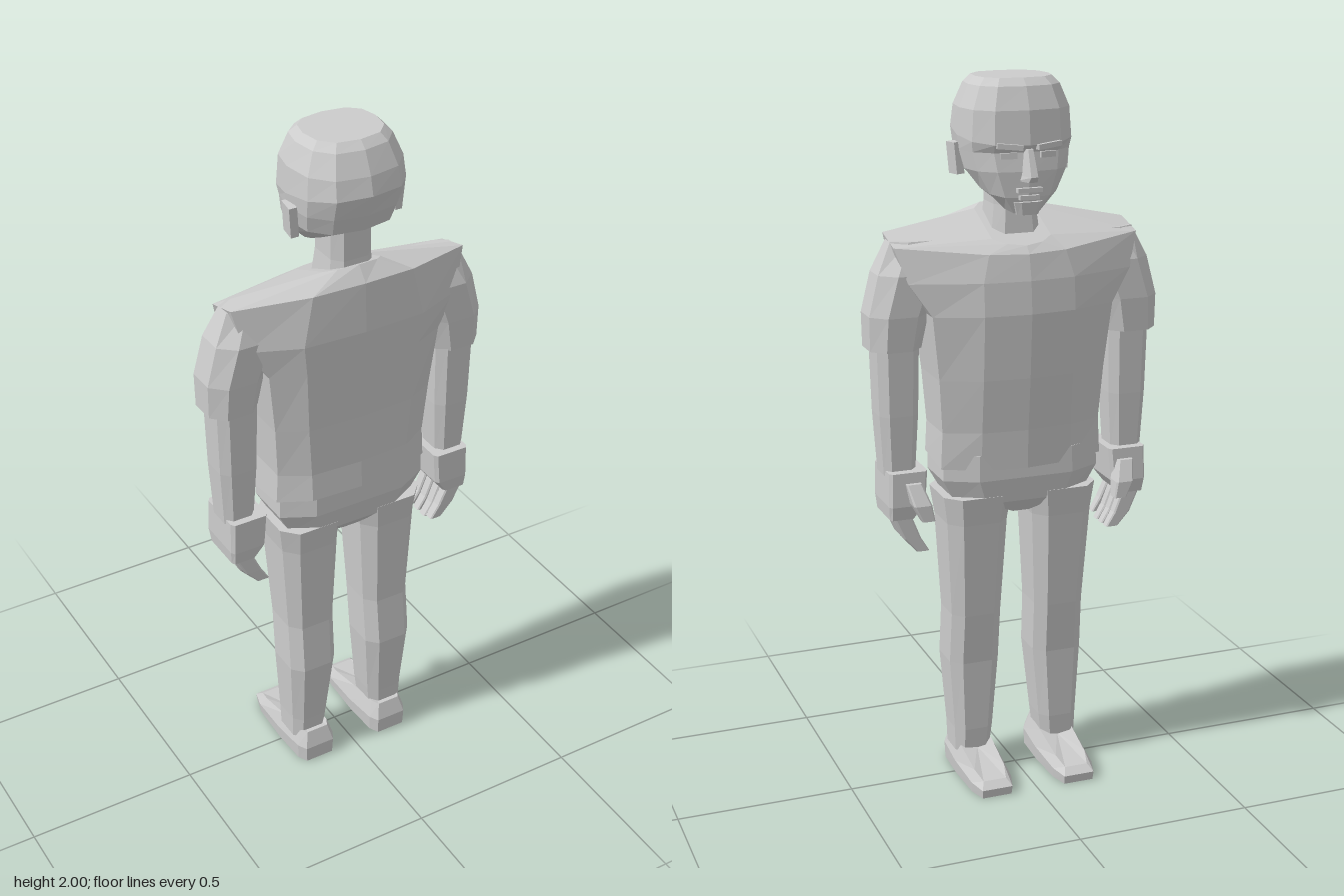
import * as THREE from 'three';

const grey = new THREE.MeshStandardMaterial({ color: 0xcccccc });
grey.name = 'light grey';

// Symmetric ring about x = cx: half profile [x, z] from the face side (-z) to the back; height runs yf to yb
function ring(cx, yf, yb, half) {
  const z0 = half[0][1], z1 = half[half.length - 1][1];
  const mirrored = half.filter(p => p[0] > 0).reverse().map(([x, z]) => [-x, z]);
  return [...half, ...mirrored].map(([x, z]) => [cx + x, yf + (yb - yf) * (z - z0) / (z1 - z0), z]);
}

// Chamfered rectangle ring: half width w, depth z0..z1, chamfer share c
function oct(cx, y, w, z0, z1, c = 0.4) {
  const d = c * (z1 - z0) / 2;
  return ring(cx, y, y, [[w * (1 - c), z0], [w, z0 + d], [w, z1 - d], [w * (1 - c), z1]]);
}

// Faceted, capped skin through rings listed from bottom to top
function loft(name, rings) {
  const pos = [], n = rings[0].length;
  const tri = (...v) => v.forEach(p => pos.push(...p));
  const centre = r => [0, 1, 2].map(k => r.reduce((s, p) => s + p[k], 0) / n);
  const low = rings[0], high = rings[rings.length - 1];
  const lowC = centre(low), highC = centre(high);
  for (let i = 0; i < n; i++) {
    const j = (i + 1) % n;
    for (let k = 0; k + 1 < rings.length; k++) {
      const a = rings[k], b = rings[k + 1];
      tri(a[i], b[i], a[j]);
      tri(a[j], b[i], b[j]);
    }
    tri(lowC, low[i], low[j]);
    tri(highC, high[j], high[i]);
  }
  const geo = new THREE.BufferGeometry();
  geo.setAttribute('position', new THREE.Float32BufferAttribute(pos, 3));
  geo.computeVertexNormals();
  const mesh = new THREE.Mesh(geo, grey);
  mesh.name = name;
  return mesh;
}

function box(name, w, h, d, x, y, z, rx = 0, ry = 0, rz = 0) {
  const mesh = new THREE.Mesh(new THREE.BoxGeometry(w, h, d), grey);
  mesh.name = name;
  mesh.position.set(x, y, z);
  mesh.rotation.set(rx, ry, rz);
  return mesh;
}

function shirt() {
  // yf, yb, side x, front z, back z, front half width, back half width, side front z, side back z
  const rows = [
    [0.94, 0.97, 0.235, -0.10, 0.150, 0.13, 0.15, -0.05, 0.09],
    [1.05, 1.05, 0.230, -0.105, 0.145, 0.13, 0.15, -0.05, 0.09],
    [1.20, 1.20, 0.240, -0.12, 0.150, 0.13, 0.16, -0.06, 0.10],
    [1.38, 1.38, 0.260, -0.132, 0.160, 0.13, 0.17, -0.07, 0.11],
    [1.47, 1.47, 0.320, -0.125, 0.165, 0.13, 0.18, -0.05, 0.10],
    [1.54, 1.61, 0.350, -0.11, 0.158, 0.11, 0.15, -0.02, 0.08],
    [1.56, 1.65, 0.085, -0.09, 0.125, 0.05, 0.06, -0.05, 0.09],
  ];
  return loft('shirt', rows.map(([yf, yb, xs, zf, zb, xf, xb, sf, sb]) =>
    ring(0, yf, yb, [[0, zf], [xf, zf + 0.012], [xs, sf], [xs, sb], [xb, zb - 0.008], [0, zb]])));
}

function head() {
  const group = new THREE.Group();
  group.name = 'head';
  // yf, yb, half width, front z, back z
  const rows = [
    [1.645, 1.71, 0.06, -0.093, 0.06],
    [1.69, 1.735, 0.105, -0.105, 0.10],
    [1.76, 1.76, 0.14, -0.108, 0.15],
    [1.81, 1.81, 0.152, -0.100, 0.17],
    [1.83, 1.87, 0.156, -0.115, 0.19],
    [1.92, 1.92, 0.150, -0.108, 0.178],
    [1.98, 1.98, 0.125, -0.085, 0.150],
    [2.0, 2.0, 0.105, -0.062, 0.128],
  ];
  group.add(loft('skull', rows.map(([yf, yb, w, zf, zb]) => {
    const d = zb - zf;
    return ring(0, yf, yb, [[0, zf], [w * 0.6, zf + 0.05 * d], [w * 0.9, zf + 0.2 * d],
      [w, zf + 0.45 * d], [w * 0.92, zf + 0.75 * d], [w * 0.6, zf + 0.94 * d], [0, zb]]);
  })));
  group.add(loft('neck', [oct(0, 1.57, 0.07, -0.035, 0.115), oct(0, 1.66, 0.06, -0.025, 0.11), oct(0, 1.79, 0.06, -0.02, 0.11)]));
  group.add(loft('nose', [
    ring(0, 1.735, 1.735, [[0.012, -0.135], [0.028, -0.09]]),
    ring(0, 1.75, 1.75, [[0.010, -0.147], [0.024, -0.09]]),
    ring(0, 1.82, 1.82, [[0.007, -0.117], [0.012, -0.09]]),
  ]));
  group.add(box('upperLip', 0.07, 0.012, 0.02, 0, 1.712, -0.107));
  group.add(box('lowerLip', 0.055, 0.012, 0.02, 0, 1.692, -0.105));
  group.add(loft('chin', [oct(0, 1.645, 0.03, -0.106, -0.06), oct(0, 1.68, 0.04, -0.113, -0.06)]));
  for (const s of [1, -1]) {
    group.add(box('ear', 0.022, 0.085, 0.05, s * 0.154, 1.785, 0.043, 0.05, s * 0.12, s * -0.08));
    group.add(box('eye', 0.045, 0.016, 0.008, s * 0.055, 1.803, -0.1, 0, s * -0.16, 0));
    group.add(box('brow', 0.07, 0.014, 0.018, s * 0.055, 1.828, -0.108, 0, s * -0.16, s * 0.1));
  }
  return group;
}

function arm(s) {
  const group = new THREE.Group();
  group.name = s > 0 ? 'leftArm' : 'rightArm';
  group.add(loft('sleeve', [
    oct(s * 0.345, 1.285, 0.072, -0.045, 0.105, 0.5),
    oct(s * 0.335, 1.38, 0.083, -0.05, 0.11, 0.5),
    oct(s * 0.30, 1.49, 0.09, -0.045, 0.11, 0.5),
    oct(s * 0.26, 1.575, 0.09, -0.01, 0.08, 0.5),
  ]));
  group.add(loft('forearm', [
    oct(s * 0.338, 0.93, 0.045, -0.018, 0.085),
    oct(s * 0.338, 1.10, 0.055, -0.025, 0.095),
    oct(s * 0.338, 1.32, 0.06, -0.03, 0.1),
  ]));
  group.add(loft('palm', [
    oct(s * 0.343, 0.81, 0.035, -0.04, 0.1, 0.15),
    oct(s * 0.330, 0.85, 0.052, -0.05, 0.107, 0.15),
    oct(s * 0.325, 0.945, 0.055, -0.045, 0.107, 0.15),
  ]));
  // Four fingers curling inward
  for (let i = 0; i < 4; i++) {
    const z = -0.036 + i * 0.035, tip = 0.71 + (i === 3 ? 0.012 : 0);
    group.add(loft('finger', [
      oct(s * 0.285, tip, 0.018, z, z + 0.028, 0.2),
      oct(s * 0.315, tip + 0.04, 0.024, z, z + 0.03, 0.2),
      oct(s * 0.348, 0.83, 0.026, z, z + 0.031, 0.2),
    ]));
  }
  group.add(loft('thumb', [
    oct(s * 0.285, 0.815, 0.018, -0.094, -0.06, 0.2),
    oct(s * 0.30, 0.86, 0.026, -0.092, -0.04, 0.2),
    oct(s * 0.315, 0.915, 0.022, -0.06, -0.02, 0.2),
  ]));
  return group;
}

function leg(s) {
  const group = new THREE.Group();
  group.name = s > 0 ? 'leftLeg' : 'rightLeg';
  group.add(loft('trouserLeg', [
    oct(s * 0.133, 0.07, 0.052, -0.025, 0.095),
    oct(s * 0.130, 0.14, 0.057, -0.03, 0.1),
    oct(s * 0.127, 0.35, 0.073, -0.035, 0.122),
    oct(s * 0.125, 0.50, 0.073, -0.05, 0.108),
    oct(s * 0.126, 0.78, 0.088, -0.075, 0.118),
    oct(s * 0.125, 0.86, 0.100, -0.085, 0.13),
  ]));
  // Shoe: flat sole outline, upper sloping down to the toe
  const outline = [[0.045, -0.192], [0.06, -0.14], [0.065, -0.01], [0.06, 0.1], [0.045, 0.128]];
  const shoeRing = (k, heights) => ring(s * 0.125, 0, 0, outline.map(([x, z]) => [x * k, z * (0.5 + k / 2)]))
    .map(([x, , z], i) => [x, heights[i < 5 ? i : 9 - i], z]);
  group.add(loft('shoe', [
    shoeRing(0.96, [0, 0, 0, 0, 0]),
    shoeRing(1, [0.025, 0.03, 0.04, 0.05, 0.05]),
    shoeRing(0.75, [0.042, 0.06, 0.09, 0.1, 0.1]),
  ]));
  return group;
}

export function createModel() {
  const model = new THREE.Group();
  model.name = 'standingMan';
  model.add(shirt(), head());
  model.add(loft('hips', [
    oct(0, 0.80, 0.04, -0.05, 0.09),
    oct(0, 0.84, 0.19, -0.08, 0.125),
    oct(0, 0.91, 0.228, -0.092, 0.14),
    oct(0, 0.985, 0.226, -0.09, 0.138),
  ]));
  for (const s of [1, -1]) model.add(arm(s), leg(s));
  return model;
}
